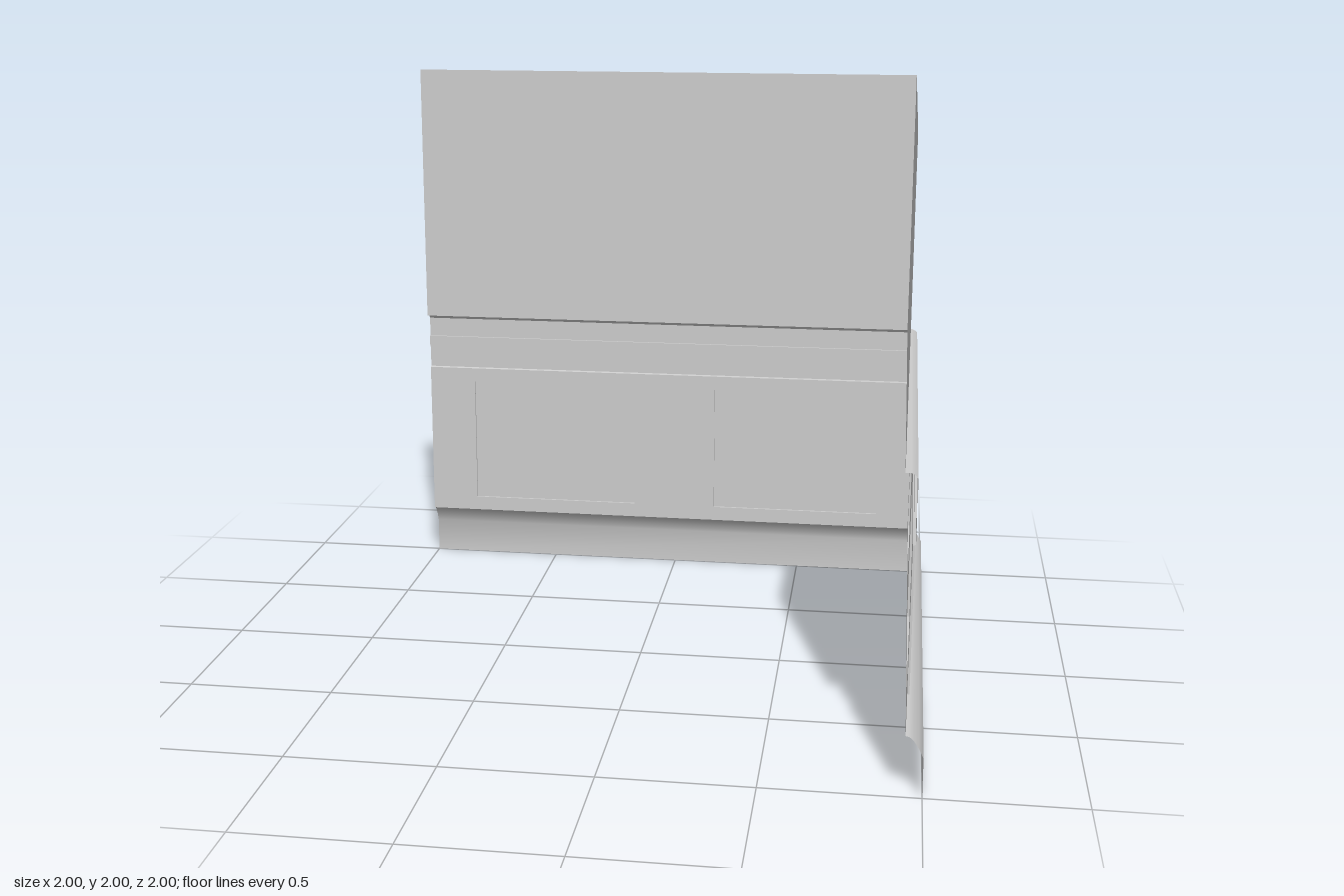
import * as THREE from 'three';
import { toCreasedNormals } from 'three/addons/utils/BufferGeometryUtils.js';

const material = new THREE.MeshStandardMaterial({ color: 0xcccccc, side: THREE.DoubleSide });

const FACE = 0.944;   // distance of the panelled face from the centre
const RAISED = 0.953; // distance of the raised panels and rails
const WALL = 0.915;   // distance of the plain upper wall
const BASE_TOP = 0.2, RAIL_BOTTOM = 0.8;

function addMesh(parent, name, geometry) {
  const mesh = new THREE.Mesh(geometry, material);
  mesh.name = name;
  parent.add(mesh);
}

// Sweeps a [distance, height] profile along both walls, mitred at the corner.
function sweepProfile(profile) {
  const positions = [];
  const path = d => [[-1, -d], [d, -d], [d, 1]];
  for (let i = 0; i < profile.length - 1; i++) {
    const [d0, y0] = profile[i], [d1, y1] = profile[i + 1];
    const low = path(d0).map(([x, z]) => [x, y0, z]);
    const high = path(d1).map(([x, z]) => [x, y1, z]);
    for (let k = 0; k < 2; k++) {
      positions.push(...low[k], ...high[k], ...high[k + 1]);
      positions.push(...low[k], ...high[k + 1], ...low[k + 1]);
    }
  }
  const geometry = new THREE.BufferGeometry();
  geometry.setAttribute('position', new THREE.Float32BufferAttribute(positions, 3));
  return toCreasedNormals(geometry, 0.6);
}

function rectangle(path, x0, y0, x1, y1) {
  path.moveTo(x0, y0);
  path.lineTo(x1, y0);
  path.lineTo(x1, y1);
  path.lineTo(x0, y1);
  path.closePath();
  return path;
}

// One panelled face, built facing +z: a sheet with openings and raised panels.
function panelledFace(name, x0, x1) {
  const group = new THREE.Group();
  group.name = name;
  const sheet = rectangle(new THREE.Shape(), x0, BASE_TOP, x1, RAIL_BOTTOM);
  const width = 0.655, height = 0.49, centreY = 0.5, depth = RAISED - FACE;

  for (const x of [-0.49, 0.49]) {
    sheet.holes.push(rectangle(new THREE.Path(),
      x - width / 2, centreY - height / 2, x + width / 2, centreY + height / 2));
    // open-backed shallow box
    const panel = new THREE.BoxGeometry(width, height, depth);
    panel.setIndex(Array.from(panel.index.array).slice(0, 30));
    panel.translate(x, centreY, FACE + depth / 2);
    addMesh(group, 'raisedPanel', panel);
  }
  addMesh(group, 'panelSurround', new THREE.ShapeGeometry(sheet).translate(0, 0, FACE));
  return group;
}

export function createModel() {
  const model = new THREE.Group();
  model.name = 'panelledWallCorner';

  // Skirting with a rounded top
  addMesh(model, 'baseboard', sweepProfile([
    [1, 0], [1, 0.13], [0.986, 0.16], [0.968, 0.187], [0.955, 0.198], [FACE, BASE_TOP],
  ]));

  // Lower band, recess, upper band and rounded ledge
  addMesh(model, 'chairRail', sweepProfile([
    [FACE, RAIL_BOTTOM], [RAISED, 0.803], [RAISED, 0.885], [FACE, 0.885],
    [FACE, 0.93], [RAISED, 0.93], [RAISED, 1.003], [0.945, 1.013], [0.935, 1.02], [WALL, 1.02],
  ]));

  // Plain wall above the rail
  addMesh(model, 'upperWall', sweepProfile([[WALL, 1.02], [WALL, 2]]));

  // Panelled faces of the two walls
  const back = panelledFace('backPanelling', -FACE, 1);
  back.rotation.y = Math.PI;
  const side = panelledFace('sidePanelling', -1, FACE);
  side.rotation.y = Math.PI / 2;
  model.add(back, side);

  return model;
}
